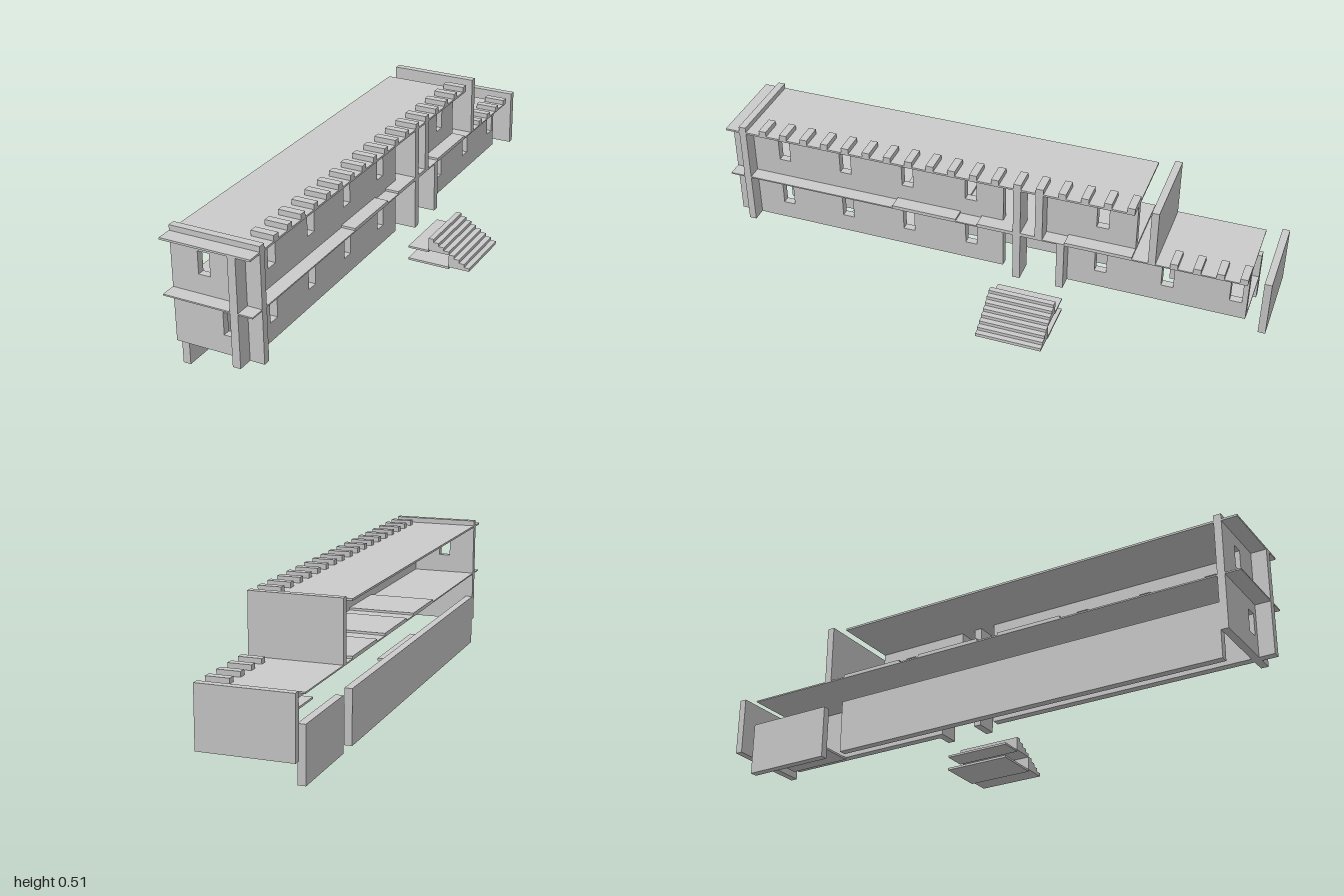
import * as THREE from 'three';

const mat = new THREE.MeshStandardMaterial({ color: 0xcccccc, flatShading: true });

export function createModel() {
  const root = new THREE.Group();

  const add = (name, geo) => {
    const m = new THREE.Mesh(geo, mat);
    m.name = name;
    root.add(m);
    return m;
  };

  // Box given by its limits on each axis
  const box = (name, x0, x1, y0, y1, z0, z1) => {
    const m = add(name, new THREE.BoxGeometry(x1 - x0, y1 - y0, z1 - z0));
    m.position.set((x0 + x1) / 2, (y0 + y1) / 2, (z0 + z1) / 2);
  };

  const rectPoints = (u0, u1, v0, v1) =>
    [[u0, v0], [u1, v0], [u1, v1], [u0, v1]].map(p => new THREE.Vector2(...p));

  // Flat panel with rectangular window holes [u0, u1, v0, v1]
  const panel = (u0, u1, v0, v1, holes, depth) => {
    const s = new THREE.Shape(rectPoints(u0, u1, v0, v1));
    holes.forEach(h => s.holes.push(new THREE.Path(rectPoints(...h))));
    return new THREE.ExtrudeGeometry(s, { depth, bevelEnabled: false });
  };

  const BACK = -0.28, FRONT = 0.04;      // slab limits across x
  const WIN = 0.0215;                    // half window width
  const LOW = [0.172, 0.251], HIGH = [0.364, 0.443];

  // Long facade walls with regular windows
  const facade = (name, z0, z1, y0, y1, centres, [w0, w1]) => {
    const holes = centres.map(c => [c - WIN, c + WIN, w0, w1]);
    const g = panel(z0, z1, y0, y1, holes, 0.028);
    g.rotateY(-Math.PI / 2);
    g.translate(-0.012, 0, 0);
    add(name, g);
  };
  const bays = [0.8, 0.56, 0.32, 0.08];
  facade('lowerFacadeLong', -0.04, 1, 0.105, 0.292, bays, LOW);
  facade('lowerFacadeShort', -0.92, -0.28, 0.105, 0.292, [-0.4, -0.64, -0.88], LOW);
  facade('upperFacadeLong', -0.04, 1, 0.297, 0.483, bays, HIGH);
  facade('upperFacadeShort', -0.52, -0.2, 0.297, 0.483, [-0.4], HIGH);

  // End wall with one window per floor, rising above the roof
  const endWall = panel(BACK, FRONT, 0.105, 0.509,
    [[-0.102, -0.06, ...LOW], [-0.182, -0.14, ...HIGH]], 0.026);
  endWall.translate(0, 0, 0.92);
  add('windowedEndWall', endWall);

  // Cross walls at the far end
  box('upperCrossWall', BACK, FRONT, 0.292, 0.509, -0.603, -0.577);
  box('farEndWall', BACK, FRONT, 0.105, 0.315, -1, -0.974);

  // Fins beside the entrance
  box('entranceFin', -0.04, FRONT, 0.105, 0.483, -0.12, -0.093);
  box('lowerFin', -0.04, FRONT, 0.105, 0.292, -0.28, -0.253);
  box('upperFin', -0.04, FRONT, 0.297, 0.483, -0.2, -0.173);

  // Rear walls
  box('rearWallLong', BACK, -0.253, 0.01, 0.2, -0.52, 0.92);
  box('rearWallShort', BACK, -0.253, 0.01, 0.2, -0.92, -0.6);

  // Roof and middle floor, with raised floor panels
  box('roof', BACK, FRONT, 0.483, 0.49, -0.52, 1);
  box('middleFloor', BACK, FRONT, 0.292, 0.297, -0.92, 1);
  [0.12, -0.2, -0.52].forEach(z => box('raisedFloorPanel', BACK, FRONT, 0.297, 0.305, z, z + 0.24));

  // Ground floor panels
  box('groundFloorNarrow', -0.253, -0.12, 0.097, 0.105, 0.2, 0.6);
  box('groundFloorWide', -0.253, -0.04, 0.097, 0.105, -0.92, -0.68);

  // Joist ends along both roofs
  const joist = (z, y0, y1) => box('joist', -0.04, FRONT, y0, y1, z - 0.0135, z + 0.0135);
  for (let i = 0; i < 18; i++) joist(-0.507 + i * 0.08, 0.49, 0.509);
  for (let i = 0; i < 4; i++) joist(-0.907 + i * 0.08, 0.297, 0.315);

  // Entrance landings and two flights of four steps
  box('lowerLanding', FRONT, 0.2, 0, 0.008, -0.28, -0.04);
  box('upperLanding', FRONT, 0.12, 0.049, 0.056, -0.28, -0.04);
  const flight = (name, x0, y0) => {
    const s = new THREE.Shape();
    s.moveTo(x0, y0);
    s.lineTo(x0 + 0.08, y0);
    for (let i = 0; i < 4; i++) {
      const x = x0 + 0.08 - i * 0.02, y = y0 + (i + 1) * 0.0122;
      s.lineTo(x, y);
      s.lineTo(x - 0.02, y);
    }
    s.closePath();
    const g = new THREE.ExtrudeGeometry(s, { depth: 0.24, bevelEnabled: false });
    g.translate(0, 0, -0.28);
    add(name, g);
  };
  flight('lowerSteps', 0.2, 0.008);
  flight('upperSteps', 0.12, 0.056);

  return root;
}
